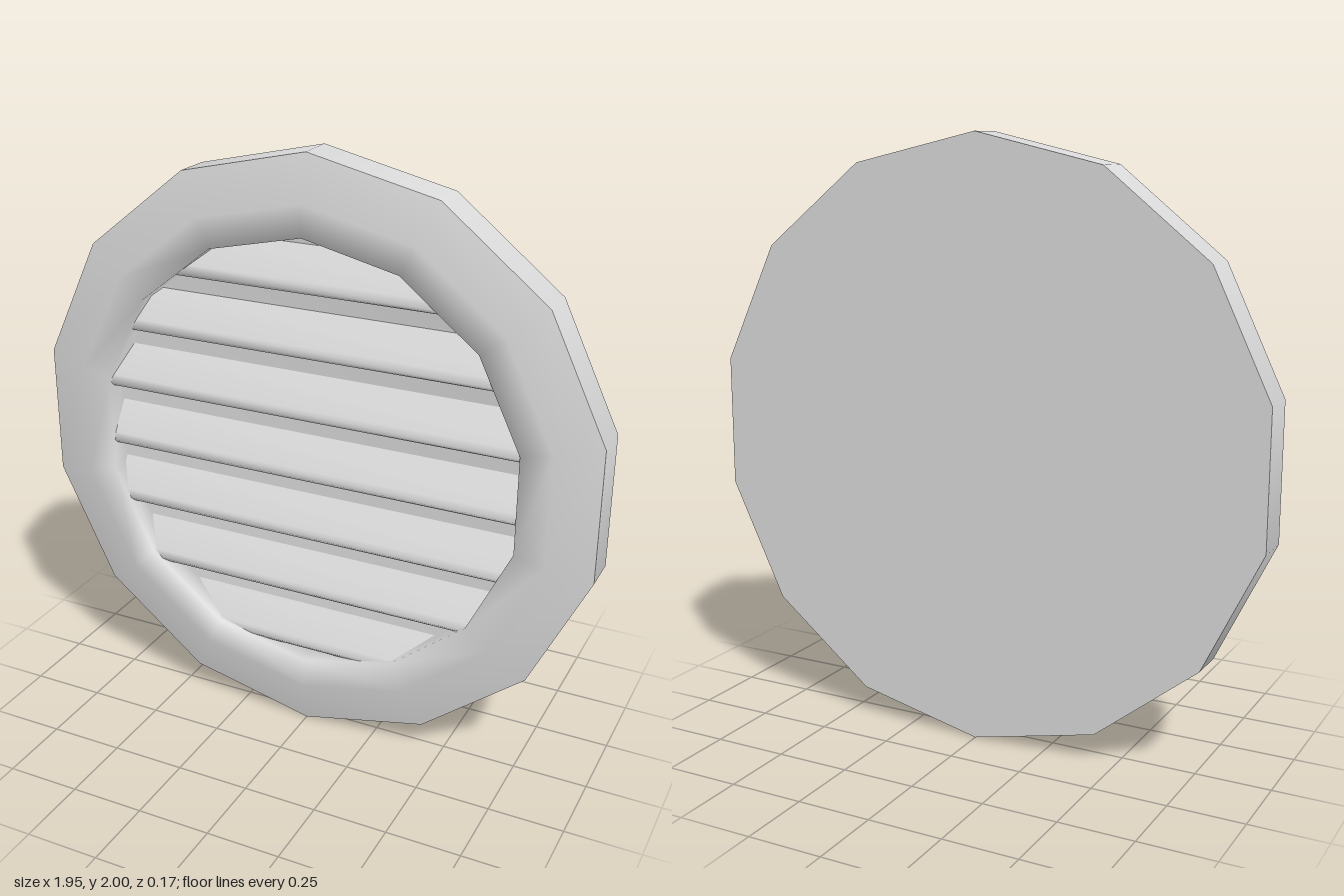
import * as THREE from 'three';

const SIDES = 14;
const DEPTH = 0.083; // half of the total depth
const PLATE = 0; // recessed plate behind the slats

// Louver: a smooth sloping strip with a rounded lower lip, swept sideways along x
function slatGeometry(halfLength) {
  const section = [[0, PLATE], [-0.1, 0.062], [-0.128, 0.07], [-0.143, 0.055], [-0.143, PLATE]];
  const positions = [], index = [];
  section.forEach(([y, z], i) => {
    positions.push(-halfLength, y, z, halfLength, y, z);
    if (i > 0) {
      const a = 2 * (i - 1);
      index.push(a, a + 2, a + 3, a, a + 3, a + 1);
    }
  });
  const geometry = new THREE.BufferGeometry();
  geometry.setAttribute('position', new THREE.Float32BufferAttribute(positions, 3));
  geometry.setIndex(index);
  geometry.computeVertexNormals();
  return geometry;
}

export function createModel() {
  const model = new THREE.Group();
  model.name = 'roundVent';
  const grey = new THREE.MeshStandardMaterial({ color: 0xdadada });
  grey.name = 'lightGrey';

  const add = (name, geometry, y) => {
    const mesh = new THREE.Mesh(geometry, grey);
    mesh.name = name;
    mesh.position.y = y;
    model.add(mesh);
  };

  // Turned surface from [radius, z] points, axis along z
  const turned = (points) => new THREE.LatheGeometry(
    points.map(([r, z]) => new THREE.Vector2(r, z)), SIDES).rotateX(Math.PI / 2);

  // Outer wall, then the rim front and recessed plate as one smooth surface
  add('outerWall', turned([[1, -DEPTH], [1, 0.047]]), 1);
  add('rimAndPlate', turned([
    [1, 0.047], [0.85, DEPTH], [0.745, 0.08], [0.745, PLATE], [0, PLATE],
  ]), 1);

  // Flat back
  const back = new THREE.CircleGeometry(1, SIDES, Math.PI / 2).rotateY(Math.PI);
  add('back', back.translate(0, 0, -DEPTH), 1);

  // Seven louvers, with their ends buried in the rim
  for (let i = 0; i < 7; i++) {
    const top = 1.705 - i * 0.2125;
    const reach = Math.max(Math.abs(top - 1), Math.abs(top - 1.143));
    add('slat' + (i + 1), slatGeometry(Math.sqrt(0.7225 - reach * reach)), top);
  }
  return model;
}
